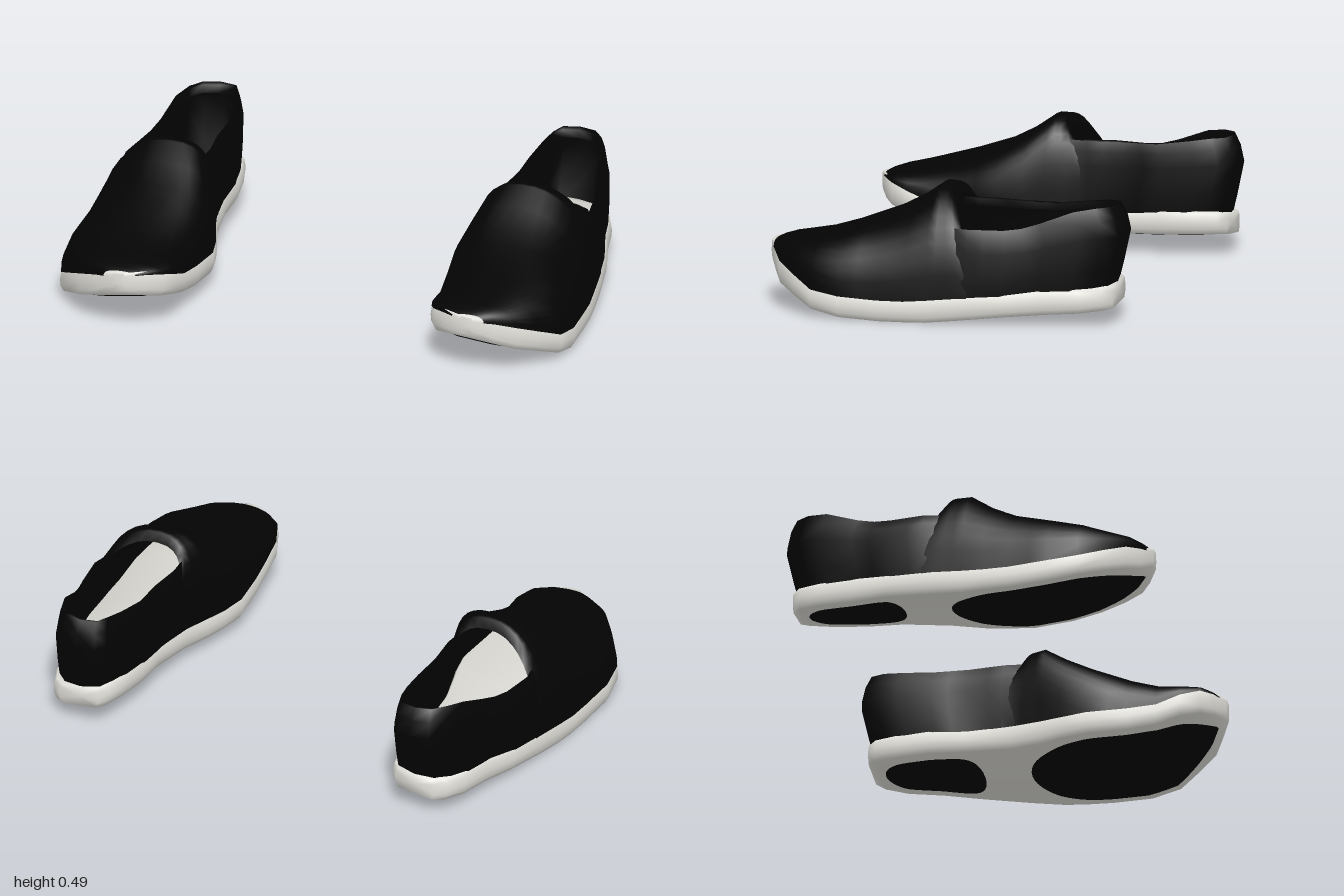
import * as THREE from 'three';
import { toCreasedNormals } from 'three/addons/utils/BufferGeometryUtils.js';

// Outline stations of one shoe: z, inner x, outer x, sole bottom, sole top, upper ridge
const STATIONS = [
  [-0.66, 0.62, 0.785, 0.07, 0.15, 0.33],
  [-0.63, 0.595, 0.825, 0.07, 0.155, 0.33],
  [-0.55, 0.575, 0.86, 0.065, 0.155, 0.33],
  [-0.42, 0.557, 0.885, 0.06, 0.155, 0.33],
  [-0.28, 0.56, 0.925, 0.055, 0.145, 0.33],
  [-0.10, 0.54, 0.955, 0.04, 0.14, 0.49],
  [0.02, 0.505, 0.97, 0.03, 0.13, 0.492],
  [0.10, 0.48, 0.98, 0.03, 0.125, 0.437],
  [0.20, 0.46, 0.985, 0.03, 0.125, 0.385],
  [0.35, 0.475, 0.995, 0.04, 0.135, 0.33],
  [0.46, 0.49, 0.98, 0.06, 0.15, 0.297],
  [0.55, 0.495, 0.915, 0.09, 0.185, 0.275],
  [0.62, 0.525, 0.855, 0.112, 0.212, 0.26],
  [0.66, 0.58, 0.78, 0.132, 0.225, 0.248],
  [0.695, 0.65, 0.71, 0.16, 0.23, 0.23],
];
const INNER = 1, OUTER = 2, BOTTOM = 3, TOP = 4, RIDGE = 5;
const { smoothstep, clamp, lerp } = THREE.MathUtils;

// Value of one station column at any z
function at(z, col) {
  let i = 0;
  while (i < STATIONS.length - 2 && STATIONS[i + 1][0] < z) i++;
  const a = STATIONS[i], b = STATIONS[i + 1];
  return lerp(a[col], b[col], clamp((z - a[0]) / (b[0] - a[0]), 0, 1));
}

// The shoe rolls slightly towards its outer edge
const tilt = (x) => (0.72 - x) * 0.12;

// Surface through rows of points; side = -1 mirrors it across x
function surface(rows, side) {
  const n = rows[0].length, index = [];
  const pos = rows.flat().flatMap(([x, y, z]) => [x * side, y, z]);
  for (let i = 0; i < rows.length - 1; i++) {
    for (let j = 0; j < n - 1; j++) {
      const a = i * n + j, b = a + n, c = b + 1, d = a + 1;
      index.push(...(side > 0 ? [a, b, d, b, c, d] : [a, d, b, b, d, c]));
    }
  }
  const g = new THREE.BufferGeometry();
  g.setAttribute('position', new THREE.Float32BufferAttribute(pos, 3));
  g.setIndex(index);
  g.computeVertexNormals();
  return g;
}

// Closed sole body, with the end rows collapsed into caps
function soleRows() {
  const rows = STATIONS.map(([z, a, b, lo, hi]) => {
    const p = (x, y) => [x, y + tilt(x), z];
    const mid = (lo + hi) / 2, e = Math.min(0.014, (b - a) * 0.15);
    return [p(b - e, lo), p(a + e, lo), p(a + e * 0.2, lo + 0.02), p(a, mid), p(a + e * 0.4, hi - 0.012),
      p(a + e, hi), p(b - e, hi), p(b - e * 0.4, hi - 0.012), p(b, mid), p(b - e * 0.2, lo + 0.02), p(b - e, lo)];
  });
  const cap = (s) => {
    const x = (s[INNER] + s[OUTER]) / 2;
    return rows[0].map(() => [x, (s[BOTTOM] + s[TOP]) / 2 + tilt(x), s[0]]);
  };
  return [cap(STATIONS[0]), ...rows, cap(STATIONS[STATIONS.length - 1])];
}

// Front of the upper: arches from the toe back to the lip of the opening
function vampRows() {
  const zs = [-0.14, -0.1, -0.06, -0.02, 0.02, 0.1, 0.2, 0.28, 0.35, 0.46, 0.55, 0.62, 0.66, 0.677];
  return zs.map((z) => {
    const a = at(z, INNER) + 0.004, b = at(z, OUTER) - 0.004;
    const c = (a + b) / 2, half = (b - a) / 2;
    const row = [];
    for (let j = 0; j <= 20; j++) {
      const t = Math.PI * j / 20, s = Math.max(0, Math.sin(t)), k = Math.cos(t);
      // the ridge leans towards the inner side at the instep
      const shift = 0.055 * s * s * (1 - smoothstep(z, 0.05, 0.5));
      const x = c - half * Math.sign(k) * Math.abs(k) ** 0.82 - shift;
      const base = at(z, TOP) + tilt(x) - 0.014;
      // the rear arches lean forward at the top to shape the opening
      const lean = Math.max(0, 0.02 - z) * 0.6 * s * s;
      row.push([x, base + (at(z, RIDGE) - base) * s ** 0.82, z + lean]);
    }
    return row;
  });
}

// Rear of the upper: wall running round the heel, with a small rolled collar
function quarterRows() {
  const zs = [-0.02, -0.08, -0.14, -0.2, -0.28, -0.35, -0.42, -0.55, -0.63];
  const ring = [
    ...zs.map((z) => [at(z, OUTER) - 0.004, z]),
    [0.775, -0.682], [0.70, -0.70], [0.625, -0.685],
    ...zs.slice().reverse().map((z) => [at(z, INNER) + 0.004, z]),
  ];
  // levels: height share, narrowing in x, shortening in z
  const levels = [[0, 1, 0.932], [0.25, 1, 0.96], [0.65, 0.96, 1], [0.85, 0.91, 0.981],
    [1, 0.85, 0.949], [0.98, 0.82, 0.924], [0.88, 0.82, 0.917]];
  return ring.map(([x, z]) => levels.map(([h, w, zScale]) => {
    const base = at(z, TOP) + tilt(x) - 0.014;
    // the collar dips on the outer side and rises to the heel
    const dip = 0.06 * smoothstep(x, 0.7, 0.9) * smoothstep(z, -0.58, -0.28);
    const rim = 0.415 + 0.03 * smoothstep(-z, 0.4, 0.68) - dip;
    // the front ends tuck in under the vamp
    const tuck = 0.15 * h * smoothstep(z, -0.15, -0.02);
    return [0.71 + (x - 0.71) * (w - tuck), base + (rim - base) * h, z * zScale];
  }));
}

// Thin tread panel under the sole; a higher power gives squarer ends
function treadRows(z0, z1, inset, power) {
  const rows = [];
  for (let i = 0; i <= 28; i++) {
    const u = -Math.cos(Math.PI * i / 28);
    const z = (z0 + z1) / 2 + u * (z1 - z0) / 2;
    const a = at(z, INNER) + inset, b = at(z, OUTER) - inset;
    const w = Math.max(0, 1 - Math.abs(u) ** power) ** 0.5 * (b - a) / 2;
    const y = at(z, BOTTOM) - 0.004;
    rows.push([(a + b) / 2 + w, (a + b) / 2 - w].map((x) => [x, y + tilt(x), z]));
  }
  return rows;
}

// Heel pad inside the shoe: z, inner x, outer x
function padRows() {
  const edge = [[-0.59, 0.69, 0.71], [-0.57, 0.645, 0.76], [-0.48, 0.61, 0.80], [-0.42, 0.617, 0.825],
    [-0.32, 0.632, 0.86], [-0.26, 0.64, 0.855], [-0.245, 0.66, 0.835]];
  return edge.map(([z, a, b]) => [a, b].map((x) => [x, at(z, TOP) + tilt(x) + 0.006, z]));
}

export function createModel() {
  const black = new THREE.MeshStandardMaterial({ color: 0x030303, side: THREE.DoubleSide });
  black.name = 'black fabric';
  const white = new THREE.MeshStandardMaterial({ color: 0xe1e0da, side: THREE.DoubleSide });
  white.name = 'white rubber';

  const model = new THREE.Group();
  model.name = 'pairOfShoes';
  for (const side of [1, -1]) {
    const shoe = new THREE.Group();
    shoe.name = side > 0 ? 'leftShoe' : 'rightShoe';
    const add = (name, geometry, material) => {
      const mesh = new THREE.Mesh(geometry, material);
      mesh.name = name;
      shoe.add(mesh);
    };
    add('sole', toCreasedNormals(surface(soleRows(), side), 1.6), white);
    add('vamp', surface(vampRows(), side), black);
    add('heelQuarter', surface(quarterRows(), side), black);
    add('insolePad', surface(padRows(), side), black);
    add('forefootTread', surface(treadRows(-0.06, 0.66, 0.045, 4), side), black);
    add('heelTread', surface(treadRows(-0.61, -0.24, 0.052, 6), side), black);
    model.add(shoe);
  }
  return model;
}
